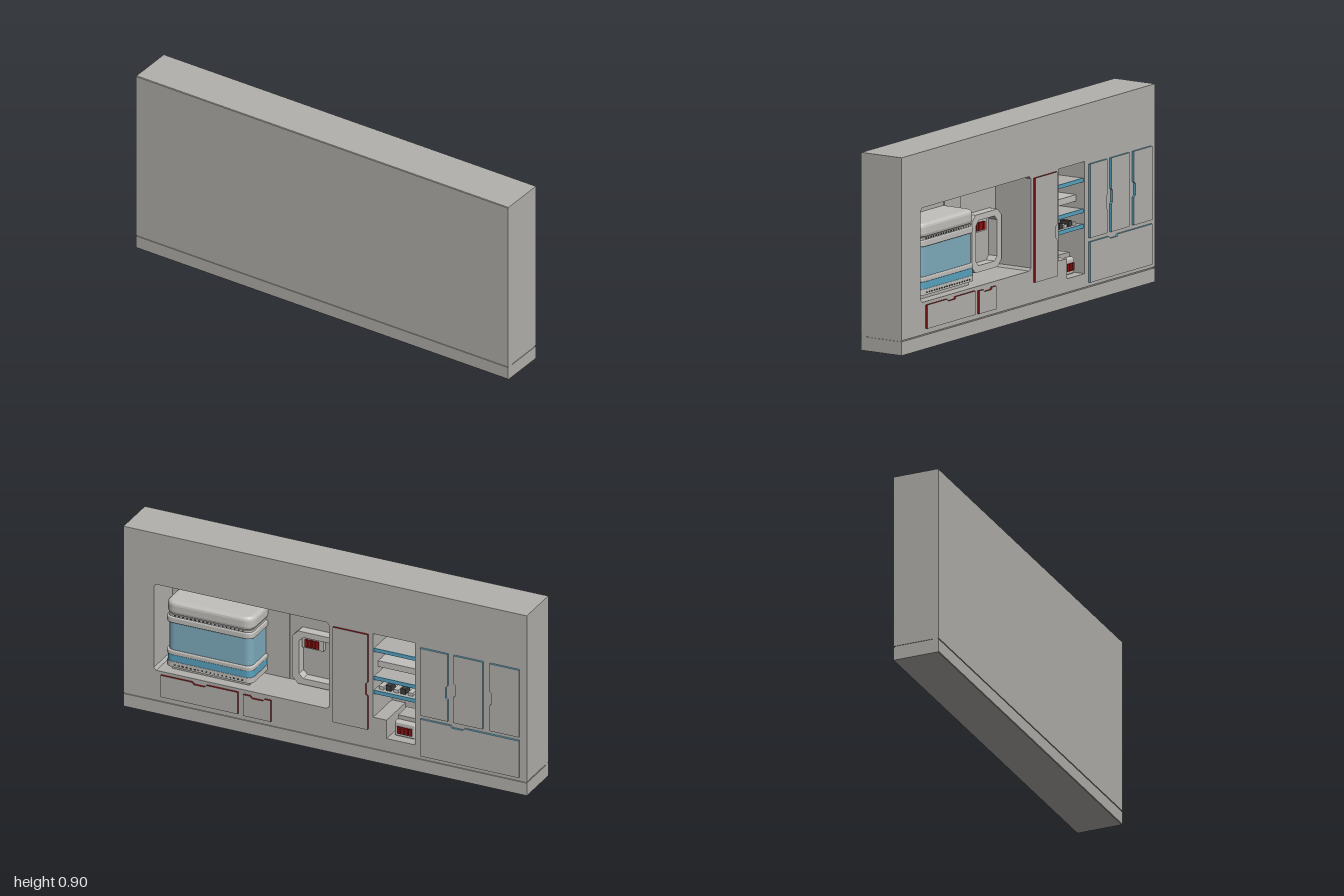
import * as THREE from 'three';
import { RoundedBoxGeometry } from 'three/addons/geometries/RoundedBoxGeometry.js';

const mat = (name, color) => {
  const m = new THREE.MeshStandardMaterial({ color });
  m.name = name;
  return m;
};

export function createModel() {
  const grey = mat('wall grey', 0xb3b1ad);
  const pale = mat('pale plastic', 0xc2c0bc);
  const red = mat('red', 0x8c1212);
  const blue = mat('blue trim', 0x58a4c2);
  const glass = mat('blue glass', 0x7fadbe);
  const dark = mat('dark slots', 0x3c3c3c);

  const root = new THREE.Group();
  const BACK = -0.105, DEEP = 0.085;

  const add = (name, geo, m, parent = root) => {
    const mesh = new THREE.Mesh(geo, m);
    mesh.name = name;
    parent.add(mesh);
    return mesh;
  };
  // Box given by its limits
  const box = (name, x0, x1, y0, y1, z0, z1, m, parent) => {
    const mesh = add(name, new THREE.BoxGeometry(x1 - x0, y1 - y0, z1 - z0), m, parent);
    mesh.position.set((x0 + x1) / 2, (y0 + y1) / 2, (z0 + z1) / 2);
    return mesh;
  };
  const poly = (pts, Type = THREE.Shape) => new Type(pts.map(p => new THREE.Vector2(...p)));
  const cornered = (x0, x1, y0, y1, c) => [
    [x0 + c, y0], [x1 - c, y0], [x1, y0 + c], [x1, y1 - c],
    [x1 - c, y1], [x0 + c, y1], [x0, y1 - c], [x0, y0 + c]];
  const extrude = (shape, depth, z) => new THREE.ExtrudeGeometry(shape, { depth, bevelEnabled: false }).translate(0, 0, z);

  // Wall with two openings in its rear side
  const wall = new THREE.Group();
  wall.name = 'wall';
  root.add(wall);
  const upper = poly([[-1, 0.068], [1, 0.068], [1, 0.9], [-1, 0.9]]);
  upper.holes.push(poly(cornered(-0.02, 0.85, 0.215, 0.645, 0.012), THREE.Path));
  upper.holes.push(poly([[-0.445, 0.13], [-0.305, 0.13], [-0.305, 0.222], [-0.238, 0.222],
    [-0.238, 0.64], [-0.445, 0.64]], THREE.Path));
  add('rearWall', extrude(upper, DEEP - BACK, BACK), grey, wall);
  box('rearBaseboard', -1, 1, 0, 0.063, BACK, DEEP, grey, wall);
  box('rearGroove', -0.997, 0.997, 0.062, 0.069, BACK + 0.005, DEEP, grey, wall);

  // Front slab: profile with bevelled edges and a baseboard groove, run along x
  const profile = poly([[-DEEP, 0], [-0.112, 0], [-0.115, 0.003], [-0.115, 0.063], [-0.111, 0.063],
    [-0.111, 0.068], [-0.115, 0.068], [-0.115, 0.897], [-0.112, 0.9], [-DEEP, 0.9]]);
  add('frontWall', new THREE.ExtrudeGeometry(profile, { depth: 2, bevelEnabled: false })
    .rotateY(Math.PI / 2).translate(-1, 0, 0), grey, wall);

  // Cabinet fronts with coloured edges and finger notches on a chosen side
  const panel = (name, x0, x1, y0, y1, edge, notch, at) => {
    const d = 0.01, h = 0.035, s = 0.008, pts = [];
    pts.push([x0, y0], [x1, y0]);
    if (notch === 'left') pts.push([x1, at - h], [x1 - d, at - h + s], [x1 - d, at + h - s], [x1, at + h]);
    pts.push([x1, y1]);
    if (notch === 'top') pts.push([at + h, y1], [at + h - s, y1 - d], [at - h + s, y1 - d], [at - h, y1]);
    pts.push([x0, y1]);
    if (notch === 'right') pts.push([x0, at + h], [x0 + d, at + h - s], [x0 + d, at - h + s], [x0, at - h]);
    add(name, extrude(poly(pts), 0.01, BACK - 0.01), [grey, edge]);
  };
  panel('wideDrawer', 0.43, 0.812, 0.092, 0.2, red, 'top', 0.62);
  panel('smallDrawer', 0.265, 0.402, 0.09, 0.195, red, 'top', 0.333);
  panel('tallDoor', -0.215, -0.042, 0.158, 0.633, red, 'right', 0.36);
  panel('cabinetDoorA', -0.612, -0.475, 0.288, 0.624, blue, 'right', 0.43);
  panel('cabinetDoorB', -0.785, -0.64, 0.288, 0.624, blue, 'left', 0.45);
  panel('cabinetDoorC', -0.965, -0.82, 0.288, 0.624, blue, 'left', 0.45);
  panel('lowerCabinet', -0.965, -0.475, 0.085, 0.27, blue, 'top', -0.66);

  // Glazed unit standing in the large opening
  const unit = new THREE.Group();
  unit.name = 'glazedUnit';
  root.add(unit);
  const layer = (name, y0, y1, inset, m, bevel = 0) => {
    const i = inset + bevel, r = 0.035, x0 = 0.375 + i, x1 = 0.81 - i, f = 0.08 - i, b = -DEEP;
    const s = new THREE.Shape();
    s.moveTo(x0, b);
    s.lineTo(x1, b);
    s.lineTo(x1, f - r);
    s.quadraticCurveTo(x1, f, x1 - r, f);
    s.lineTo(x0 + r, f);
    s.quadraticCurveTo(x0, f, x0, f - r);
    s.lineTo(x0, b);
    const geo = new THREE.ExtrudeGeometry(s, {
      depth: y1 - y0 - 2 * bevel, curveSegments: 6, bevelEnabled: bevel > 0,
      bevelSize: bevel, bevelThickness: bevel, bevelSegments: 3 });
    add(name, geo.rotateX(-Math.PI / 2).translate(0, y0 + bevel, 0), m, unit);
  };
  layer('unitBase', 0.235, 0.262, 0.002, pale);
  layer('lowerBand', 0.262, 0.295, 0.004, blue);
  layer('lowerRing', 0.295, 0.317, 0, pale, 0.005);
  layer('glassBody', 0.317, 0.455, 0.01, glass);
  layer('upperRing', 0.455, 0.485, 0, pale, 0.005);
  layer('neck', 0.485, 0.495, 0.008, pale);
  layer('cap', 0.495, 0.56, 0, pale, 0.018);
  box('unitFoot', 0.4, 0.785, 0.215, 0.236, -0.055, DEEP, grey, unit);
  // Vent slots along the cap and base
  for (let i = 0; i < 18; i++) {
    const x = 0.425 + i * 0.0197;
    box('capSlot', x - 0.004, x + 0.004, 0.487, 0.493, -0.0735, -0.07, dark, unit);
    box('baseSlot', x - 0.004, x + 0.004, 0.243, 0.249, -0.0795, -0.075, dark, unit);
  }

  // Lining panel and framed dispenser on the rear of the large opening
  box('liningPanel', 0.267, 0.393, 0.217, 0.643, 0.08, DEEP, grey);
  const dispenser = new THREE.Group();
  dispenser.name = 'wallDispenser';
  root.add(dispenser);
  const frame = poly(cornered(0, 0.235, 0.225, 0.488, 0.03));
  frame.holes.push(poly(cornered(0.035, 0.2, 0.255, 0.46, 0.02), THREE.Path));
  add('dispenserFrame', extrude(frame, 0.045, 0.04), pale, dispenser);
  box('dispenserHead', 0.09, 0.195, 0.4, 0.455, 0.06, DEEP, pale, dispenser);
  for (let i = 0; i < 4; i++) {
    const x = 0.11 + i * 0.018;
    box('redKey', x, x + 0.015, 0.408, 0.445, 0.052, 0.061, red, dispenser);
  }

  // Shelf niche
  const shelves = new THREE.Group();
  shelves.name = 'shelves';
  root.add(shelves);
  for (const y of [0.555, 0.415, 0.345]) {
    box('shelf', -0.445, -0.238, y - 0.008, y + 0.008, -0.092, DEEP, grey, shelves);
    box('shelfEdge', -0.445, -0.238, y - 0.009, y + 0.009, -0.097, -0.092, blue, shelves);
  }
  box('tray', -0.442, -0.241, 0.455, 0.485, -0.06, DEEP, pale, shelves);
  // Small items on the lowest shelf
  for (let i = 0; i < 5; i++) {
    const x = -0.42 + i * 0.036;
    box('shelfItem', x, x + 0.024, 0.353, 0.368 + (i % 2) * 0.012, -0.075, -0.03, i % 2 ? dark : pale, shelves);
  }

  // Small machine in the foot of the niche
  const machine = new THREE.Group();
  machine.name = 'smallMachine';
  root.add(machine);
  const body = add('machineBody', new RoundedBoxGeometry(0.105, 0.075, 0.12, 2, 0.01), pale, machine);
  body.position.set(-0.375, 0.168, -0.005);
  box('machineTop', -0.42, -0.33, 0.205, 0.225, -0.04, 0.05, grey, machine);
  for (let i = 0; i < 4; i++) {
    const x = -0.412 + i * 0.019;
    box('machineKey', x, x + 0.016, 0.148, 0.182, -0.072, -0.064, red, machine);
  }
  return root;
}
